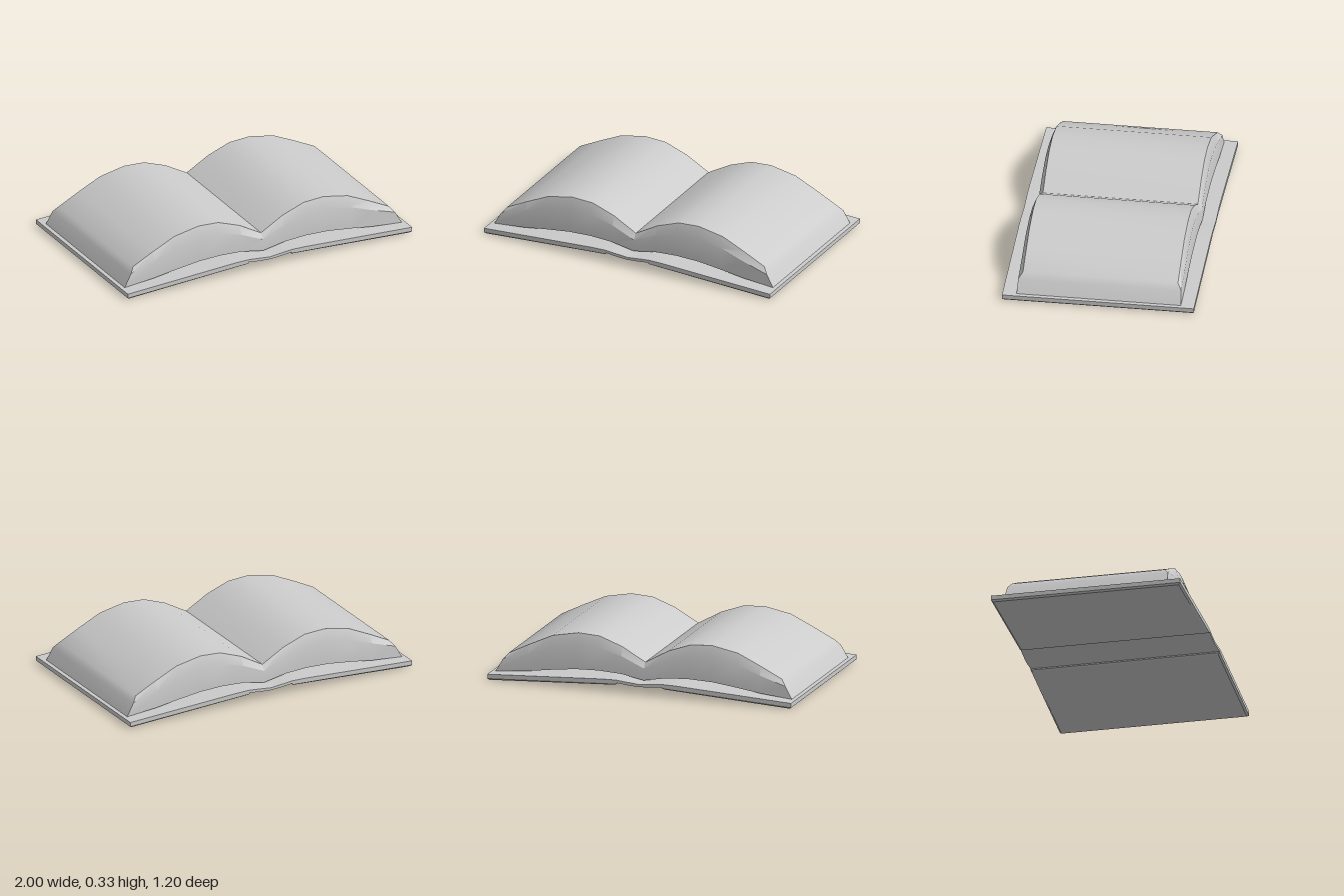
import * as THREE from 'three';
import { toCreasedNormals } from 'three/addons/utils/BufferGeometryUtils.js';

const DEPTH = 1.2;

// Half profile of the page block, gutter to fore-edge: [top x, top y, bottom x, bottom y]
const PAGE_PROFILE = [
  [0, 0.18, 0, 0.07],
  [0.15, 0.265, 0.15, 0.098],
  [0.3, 0.32, 0.3, 0.106],
  [0.44, 0.328, 0.45, 0.101],
  [0.61, 0.295, 0.62, 0.08],
  [0.76, 0.225, 0.77, 0.058],
  [0.9, 0.155, 0.975, 0.04],
];

const mirrorX = ([tx, ty, bx, by]) => [-tx, ty, -bx, by];

function pageGeometry() {
  const stations = [...PAGE_PROFILE.slice(1).reverse().map(mirrorX), ...PAGE_PROFILE];
  const positions = [];
  const index = [];
  const quad = (a, b, c, d) => index.push(a, b, c, a, c, d);

  // Six-sided ring at each station: narrow at the top, bulging out below it
  for (const [tx, ty, bx, by] of stations) {
    const mx = THREE.MathUtils.lerp(tx, bx, 0.4);
    const my = THREE.MathUtils.lerp(ty, by, 0.32);
    positions.push(
      tx, ty, 0.482, tx, ty, -0.487,
      mx, my, -0.512, bx, by, -0.516,
      bx, by, 0.512, mx, my, 0.508,
    );
  }
  const last = (stations.length - 1) * 6;
  for (let i = 0; i < last; i += 6) {
    for (let j = 0; j < 6; j++) {
      const k = (j + 1) % 6;
      quad(i + j, i + 6 + j, i + 6 + k, i + k);
    }
  }
  // Fore-edges
  quad(0, 1, 2, 5);
  quad(5, 2, 3, 4);
  quad(last, last + 5, last + 2, last + 1);
  quad(last + 5, last + 4, last + 3, last + 2);

  const geometry = new THREE.BufferGeometry();
  geometry.setAttribute('position', new THREE.Float32BufferAttribute(positions, 3));
  geometry.setIndex(index);
  return toCreasedNormals(geometry, 0.45);
}

// Thin flexible sheet that runs across both boards and dips at the spine
function sheetGeometry() {
  const top = [[0, 0.065], [0.07, 0.072], [0.15, 0.08], [0.25, 0.078], [1, 0.038]];
  const under = [[1, 0.03], [0.25, 0.062], [0.15, 0.062], [0.07, 0.053], [0, 0.049]];
  const flip = (points) => points.map(([x, y]) => [-x, y]).reverse();
  const outline = [...top, ...under, ...flip(under).slice(1), ...flip(top).slice(0, -1)];
  const shape = new THREE.Shape(outline.map(([x, y]) => new THREE.Vector2(x, y)));
  const geometry = new THREE.ExtrudeGeometry(shape, { depth: DEPTH, bevelEnabled: false });
  geometry.translate(0, 0, -DEPTH / 2);
  return toCreasedNormals(geometry, 0.45);
}

// Sloping board, chamfered around its underside; side is +1 or -1
function boardGeometry(side) {
  const geometry = new THREE.BoxGeometry(1, 2, 1, 1, 2, 1);
  const p = geometry.attributes.position;
  for (let i = 0; i < p.count; i++) {
    const outer = p.getX(i) * side > 0;
    const row = Math.round(p.getY(i)) + 1;
    const inset = row === 0 ? 0.012 : 0;
    const x = outer ? 1 - inset : 0.15 + inset;
    const y = outer ? [0, 0.01, 0.034][row] : [0.046, 0.054, 0.068][row];
    p.setXYZ(i, x * side, y, Math.sign(p.getZ(i)) * (DEPTH / 2 - inset));
  }
  return toCreasedNormals(geometry, 0.5);
}

export function createModel() {
  const book = new THREE.Group();
  book.name = 'openBook';
  const material = new THREE.MeshStandardMaterial({ color: 0xcccccc });
  const add = (name, geometry) => {
    const mesh = new THREE.Mesh(geometry, material);
    mesh.name = name;
    book.add(mesh);
  };

  add('pages', pageGeometry());
  add('coverSheet', sheetGeometry());
  add('leftBoard', boardGeometry(1));
  add('rightBoard', boardGeometry(-1));
  return book;
}
